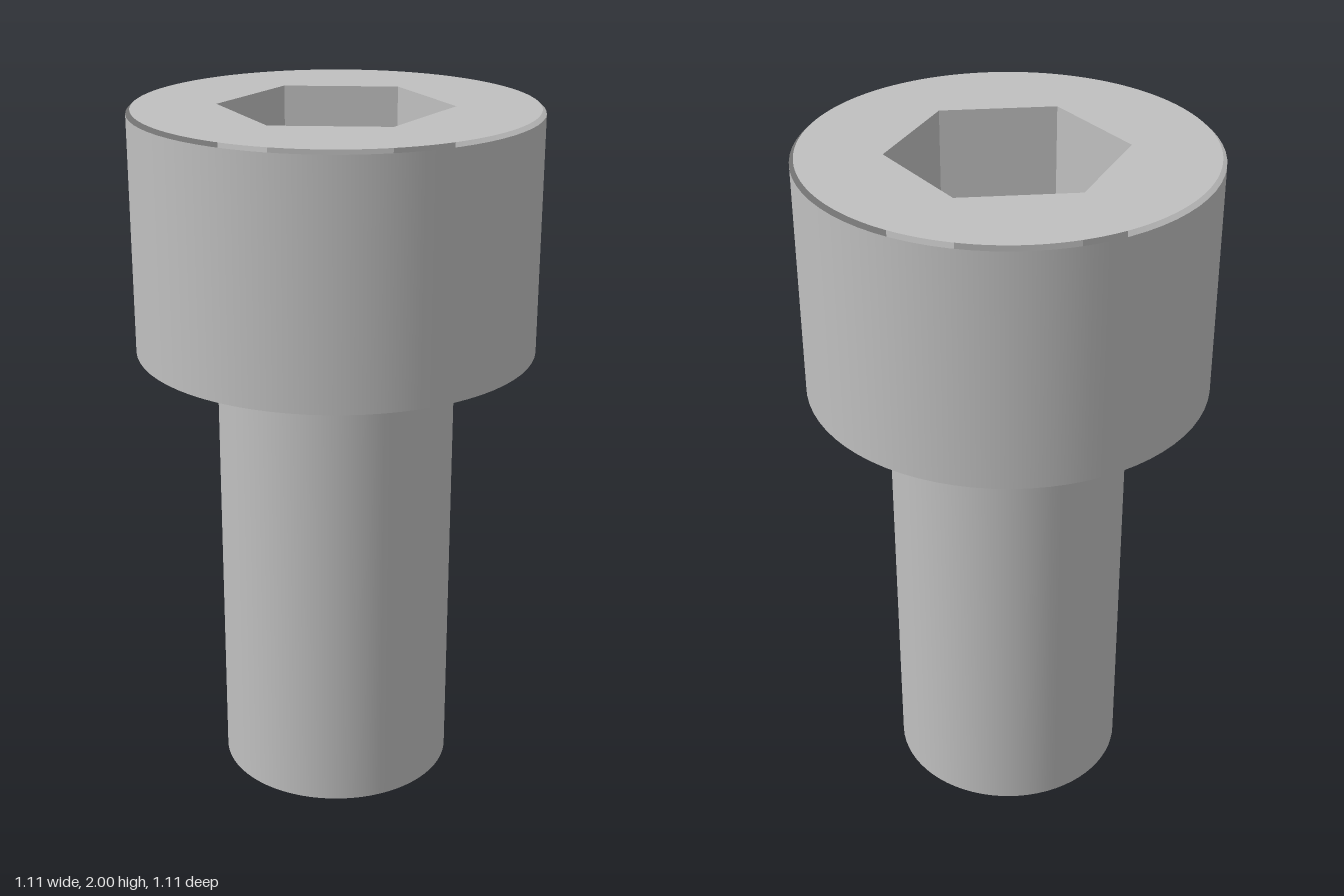
import * as THREE from 'three';

const SEGMENTS = 72;

export function createModel() {
  const model = new THREE.Group();
  model.name = 'socketHeadScrew';

  const steel = new THREE.MeshStandardMaterial({ color: 0xc0c0c0, side: THREE.DoubleSide });
  steel.name = 'steel';

  const add = (name, geometry, y, tilt = 0) => {
    const mesh = new THREE.Mesh(geometry, steel);
    mesh.name = name;
    mesh.position.y = y;
    mesh.rotation.x = tilt;
    model.add(mesh);
  };
  const UP = -Math.PI / 2, DOWN = Math.PI / 2;

  // Open round wall between two heights
  const wall = (name, radius, bottom, top) => add(
    name,
    new THREE.CylinderGeometry(radius, radius, top - bottom, SEGMENTS, 1, true),
    (bottom + top) / 2,
  );

  // Hexagon of the drive socket, turned slightly about the axis
  const hexagon = [];
  for (let i = 0; i < 6; i++) {
    const a = THREE.MathUtils.degToRad(9.6 + i * 60);
    hexagon.push(new THREE.Vector2(0.317 * Math.cos(a), 0.317 * Math.sin(a)));
  }

  // Head: side wall, raised top face with the socket opening, underside ring
  wall('headSide', 0.553, 1.337, 1.99);
  const topShape = new THREE.Shape().absarc(0, 0, 0.542, 0, Math.PI * 2);
  topShape.holes.push(new THREE.Path(hexagon));
  add('headTop', new THREE.ShapeGeometry(topShape, SEGMENTS), 2, UP);
  add('headUnderside', new THREE.RingGeometry(0.357, 0.553, SEGMENTS), 1.337, DOWN);

  // Hexagonal socket: six flat walls and a floor
  const top = 2, floor = 1.67;
  hexagon.forEach((p, i) => {
    const q = hexagon[(i + 1) % 6];
    const panel = new THREE.PlaneGeometry(p.distanceTo(q), top - floor);
    const mid = p.clone().add(q).multiplyScalar(0.5);
    panel.rotateY(Math.atan2(-mid.x, mid.y));
    panel.translate(mid.x, 0, -mid.y);
    add('socketWall' + (i + 1), panel, (top + floor) / 2);
  });
  add('socketFloor', new THREE.ShapeGeometry(new THREE.Shape(hexagon)), floor, UP);

  // Shank with a smaller flat tip below it
  wall('shank', 0.331, 0.06, 1.313);
  add('shankTip', new THREE.CircleGeometry(0.237, SEGMENTS), 0, DOWN);

  return model;
}
